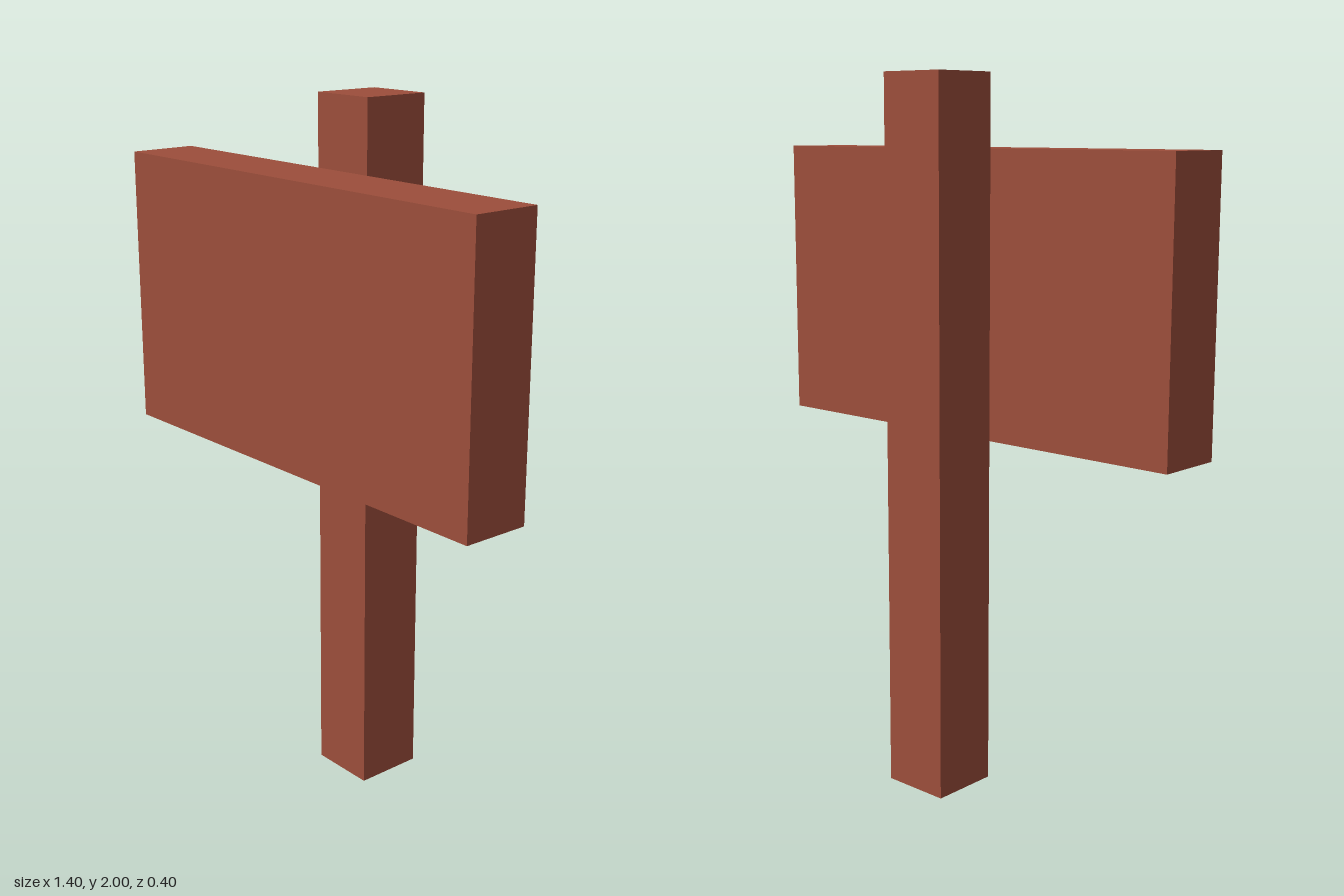
import * as THREE from 'three';

export function createModel() {
  const model = new THREE.Group();
  model.name = 'signpost';

  const wood = new THREE.MeshStandardMaterial({ color: 0x9c4e3b });
  wood.name = 'red brown wood';

  const addBox = (name, size, position) => {
    const mesh = new THREE.Mesh(new THREE.BoxGeometry(...size), wood);
    mesh.name = name;
    mesh.position.set(...position);
    model.add(mesh);
  };

  // Square upright standing behind the board
  addBox('post', [0.2, 2, 0.2], [0, 1, -0.1]);

  // Blank board fixed to the front of the post
  addBox('signBoard', [1.4, 0.8, 0.2], [0, 1.4, 0.1]);

  return model;
}
